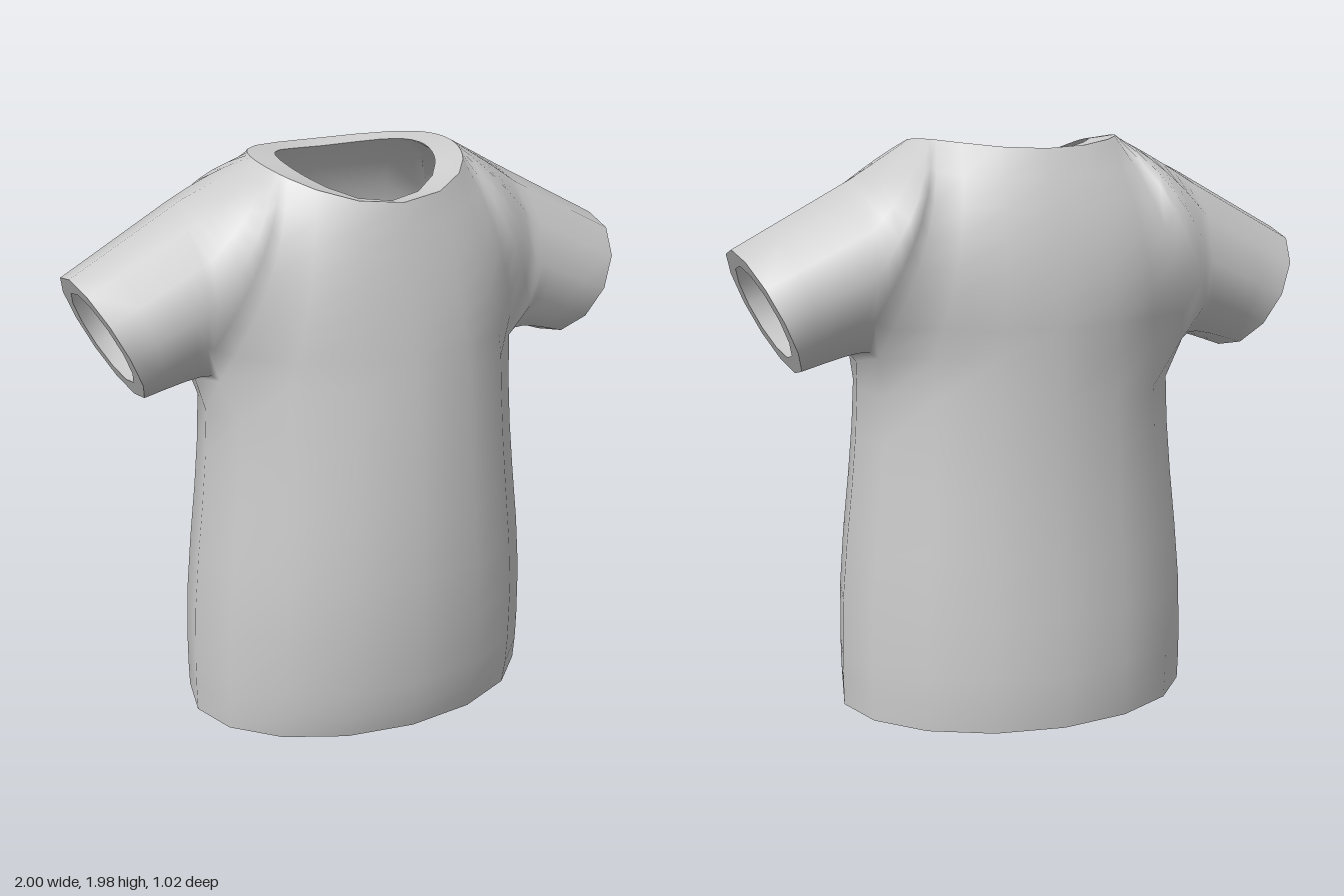
import * as THREE from 'three';
import { mergeVertices } from 'three/addons/utils/BufferGeometryUtils.js';

const V = (x, y, z) => new THREE.Vector3(x, y, z);
const mirror = (p) => V(-p.x, p.y, p.z);
// Closes a half ring (front centre -> left side -> back centre) by mirroring it
const closeRing = (half) => [...half, ...half.slice(1, -1).reverse().map(mirror)];
const key = (p) => [p.x, p.y, p.z].map((n) => Math.round(n * 2000)).join();

// Turns closed rings into triangles; flip swaps the facing
function loft(rings, flip, out) {
  for (let r = 0; r + 1 < rings.length; r++) {
    const lo = rings[r], hi = rings[r + 1], n = lo.length;
    for (let i = 0; i < n; i++) {
      const j = (i + 1) % n;
      const quad = [lo[i], lo[j], hi[j], lo[i], hi[j], hi[i]];
      if (flip) quad.reverse();
      quad.forEach((p) => out.push(p.x, p.y, p.z));
    }
  }
  return out;
}

function toGeometry(coords) {
  const g = new THREE.BufferGeometry();
  g.setAttribute('position', new THREE.Float32BufferAttribute(coords, 3));
  const merged = mergeVertices(g, 1e-4);
  merged.computeVertexNormals();
  return merged;
}

// Body levels: height, half width, front depth, back depth
const LEVELS = [
  [0.015, 0.63, 0.45, 0.50], [0.1, 0.632, 0.475, 0.507], [0.2, 0.632, 0.49, 0.51], [0.4, 0.627, 0.507, 0.50],
  [0.6, 0.61, 0.51, 0.485], [0.8, 0.588, 0.50, 0.473], [0.98, 0.572, 0.487, 0.466], [1.14, 0.565, 0.472, 0.465],
];
const bodyPoint = ([y, w, front, back], i) => {
  const a = (i * Math.PI) / 8, c = Math.cos(a);
  return V(w * Math.sin(a), y, c * (c > 0 ? front : back));
};

// Armhole ring, starting at the armpit and running over the front
const SLEEVE_SIDES = 12;
function armholePoint(j) {
  if (j === 0) return V(0.582, 1.245, -0.05);
  if (j === 1) return V(0.56, 1.28, 0.115);
  if (j === 11) return V(0.56, 1.28, -0.225);
  const a = (j * Math.PI) / 6;
  return V(0.6, 1.563 - 0.293 * Math.cos(a), -0.073 + 0.292 * Math.sin(a));
}

const CUFF = V(0.898, 1.43, -0.06);
function cuffPoint(j) {
  const a = (j * Math.PI) / 6, c = Math.cos(a);
  return V(CUFF.x - 0.102 * c, CUFF.y - 0.21 * c, CUFF.z + 0.265 * Math.sin(a));
}

// The neckline dips towards the front and peaks a little behind the middle
function neckPoint(deg) {
  const a = THREE.MathUtils.degToRad(deg), c = Math.cos(a);
  const z = c * (c > 0 ? 0.35 : 0.32);
  return V(0.368 * Math.sin(a), 1.985 - 0.56 * (z + 0.1) ** 2, z);
}

// Fullness of the yoke in z, [lower, upper], from front centre over the shoulder to back centre
const FULLNESS = [
  [0.01, 0.01], [0.025, 0.035], [0.065, 0.08], [0.13, 0.165], [0.09, 0.16], [0.055, 0.145],
  [0.04, 0.1], [0.02, 0.04], [0, 0], [-0.03, -0.06], [-0.08, -0.165], [-0.105, -0.25],
  [-0.145, -0.27], [-0.19, -0.25], [-0.13, -0.165], [-0.09, -0.11], [-0.06, -0.08],
];

export function createModel() {
  const group = new THREE.Group();
  group.name = 'shirt';

  // Half of the chest line that runs out around the armhole, and its neck angles
  const chest = [1.285, 0.565, 0.455, 0.465];
  const over = Array.from({ length: 11 }, (_, k) => k + 1);
  const base = [
    ...[0, 1, 2].map((i) => bodyPoint(chest, i)),
    ...over.map(armholePoint),
    ...[6, 7, 8].map((i) => bodyPoint(chest, i)),
  ];
  const angles = [0, 24, 46, ...over.map((j) => 62 + (j - 1) * 5.6), 134, 156, 180];

  // Yoke: curves from the chest line up to the neck
  const curves = base.map((b, i) => {
    const n = neckPoint(angles[i]);
    const p1 = b.clone().lerp(n, 1 / 3), p2 = b.clone().lerp(n, 2 / 3);
    p1.z += FULLNESS[i][0];
    p2.z += FULLNESS[i][1];
    return new THREE.CubicBezierCurve3(b, p1, p2, n);
  });
  const ROWS = 7;
  const yoke = [];
  for (let r = 0; r <= ROWS; r++) yoke.push(closeRing(curves.map((c) => c.getPoint(r / ROWS))));

  // Body: elliptical rings from the hem to the chest line and armpits
  const halfIndex = [0, 1, 2, 3, 4, 5, 6, 7, 8];
  const body = LEVELS.map((l) => closeRing(halfIndex.map((i) => bodyPoint(l, i))));
  body.push(closeRing([...base.slice(0, 4), armholePoint(0), ...base.slice(13)]));

  // Sleeve: armhole to cuff, rounded out under the arm
  const sleeve = [0, 0.1, 0.25, 0.45, 0.7, 1].map((t) =>
    Array.from({ length: SLEEVE_SIDES }, (_, j) => {
      const p = armholePoint(j).lerp(cuffPoint(j), t);
      const under = Math.max(0, Math.cos((j * Math.PI) / 6));
      p.y += 0.033 * under * Math.sin(Math.PI * Math.sqrt(t));
      return p;
    }));
  const rightSleeve = sleeve.map((ring) => ring.map(mirror));

  const coords = [];
  loft(body, false, coords);
  loft(yoke, false, coords);
  loft(sleeve, true, coords);
  loft(rightSleeve, false, coords);
  const outer = toGeometry(coords);

  // Edge loops, each with its matching inner loop
  const shrink = (ring, c, s) => ring.map((p) => p.clone().sub(c).multiplyScalar(s).add(c));
  const hem = body[0], neck = yoke[ROWS], cuff = sleeve[sleeve.length - 1];
  const edges = [
    ['hemEdge', hem, hem.map((p) => V(p.x * 0.92, 0, p.z * 0.9)), true],
    ['neckEdge', neck, neck.map((p) => V(p.x * 0.74, p.y - 0.012, p.z * 0.76)), false],
    ['leftCuffEdge', cuff, shrink(cuff, CUFF, 0.74), true],
    ['rightCuffEdge', cuff.map(mirror), shrink(cuff, CUFF, 0.74).map(mirror), false],
  ];
  const innerAt = new Map();
  edges.forEach(([, a, b]) => a.forEach((p, i) => innerAt.set(key(p), b[i])));

  // Lining: the outer surface moved inward by the cloth thickness and turned round
  const THICKNESS = 0.035;
  const inner = outer.clone();
  const pos = inner.attributes.position, nor = outer.attributes.normal;
  const p = V(0, 0, 0), n = V(0, 0, 0);
  for (let i = 0; i < pos.count; i++) {
    p.fromBufferAttribute(pos, i);
    const q = innerAt.get(key(p)) || p.addScaledVector(n.fromBufferAttribute(nor, i), -THICKNESS);
    pos.setXYZ(i, q.x, q.y, q.z);
  }
  inner.setIndex(Array.from(outer.index.array).reverse());
  inner.computeVertexNormals();

  const material = new THREE.MeshStandardMaterial({ color: 0xcccccc });
  const add = (name, geometry) => {
    const mesh = new THREE.Mesh(geometry, material);
    mesh.name = name;
    group.add(mesh);
  };
  add('outerCloth', outer);
  add('lining', inner);
  edges.forEach(([name, a, b, flip]) => add(name, toGeometry(loft([a, b], flip, []))));
  return group;
}
